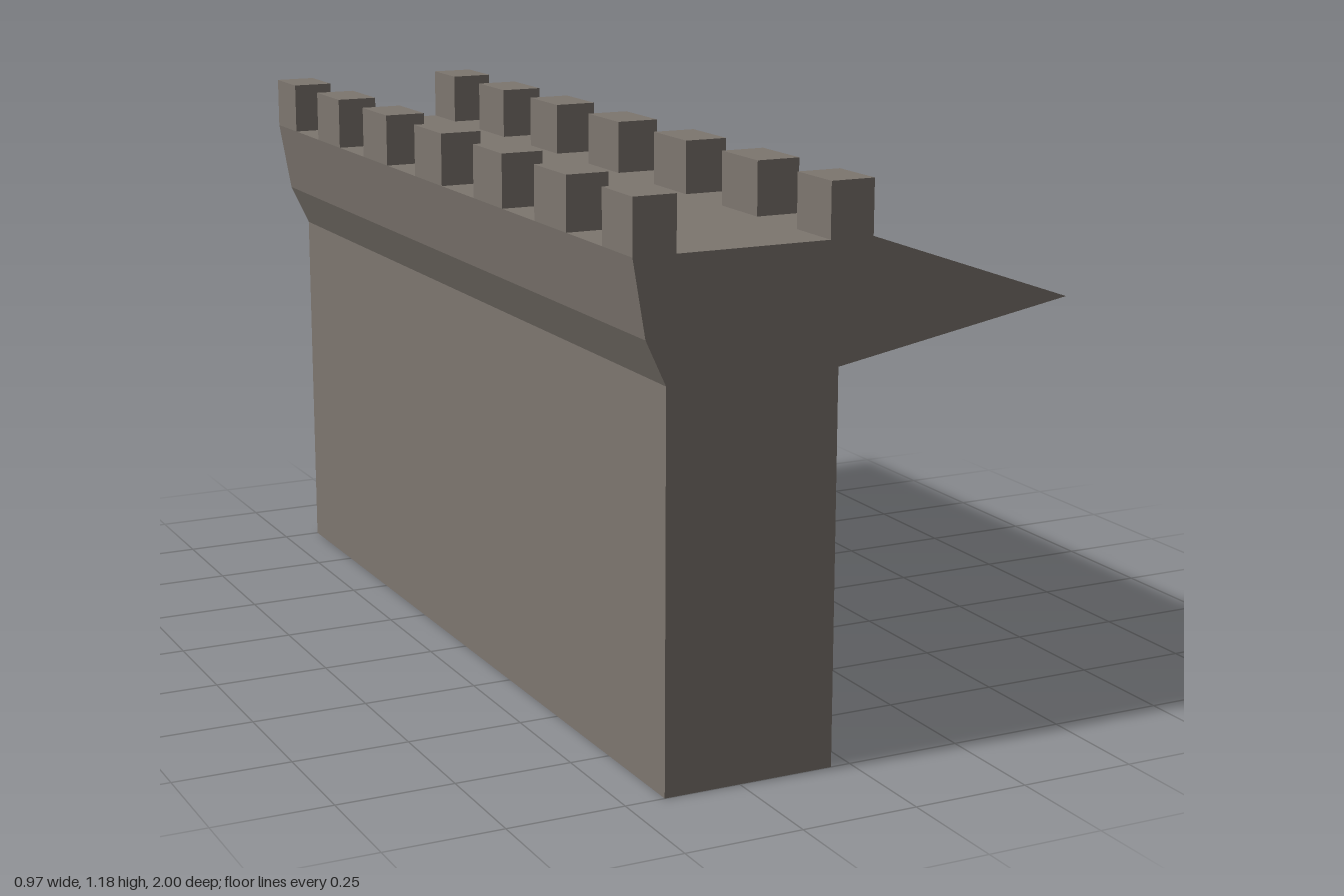
import * as THREE from 'three';

export function createModel() {
  const model = new THREE.Group();
  model.name = 'battlementWall';
  const stone = new THREE.MeshStandardMaterial({ name: 'greyStone', color: 0x7d766f });

  // Wall body: one cross-section with a flared back and a long sloping eave, run along z
  const profile = new THREE.Shape([
    [-0.415, 0], [-0.043, 0], [-0.043, 0.82], [0.483, 0.912], [0.03, 1.07],
    [-0.485, 1.07], [-0.458, 0.912], [-0.415, 0.82],
  ].map(([x, y]) => new THREE.Vector2(x, y)));
  const wallGeometry = new THREE.ExtrudeGeometry(profile, { depth: 2, bevelEnabled: false });
  wallGeometry.translate(0, 0, -1);
  const wall = new THREE.Mesh(wallGeometry, stone);
  wall.name = 'wall';
  model.add(wall);

  // Two rows of merlons; the end ones are slightly shorter and flush with the wall ends
  const spans = [
    [-1, -0.87], [-0.71, -0.56], [-0.4, -0.25], [-0.08, 0.075],
    [0.25, 0.4], [0.56, 0.71], [0.87, 1],
  ];
  const rows = { outerMerlons: [-0.485, -0.394], innerMerlons: [-0.065, 0.03] };
  for (const [name, [x0, x1]] of Object.entries(rows)) {
    const row = new THREE.Group();
    row.name = name;
    for (const [z0, z1] of spans) {
      const merlon = new THREE.Mesh(new THREE.BoxGeometry(x1 - x0, 0.113, z1 - z0), stone);
      merlon.position.set((x0 + x1) / 2, 1.07 + 0.113 / 2, (z0 + z1) / 2);
      merlon.name = 'merlon';
      row.add(merlon);
    }
    model.add(row);
  }
  return model;
}
